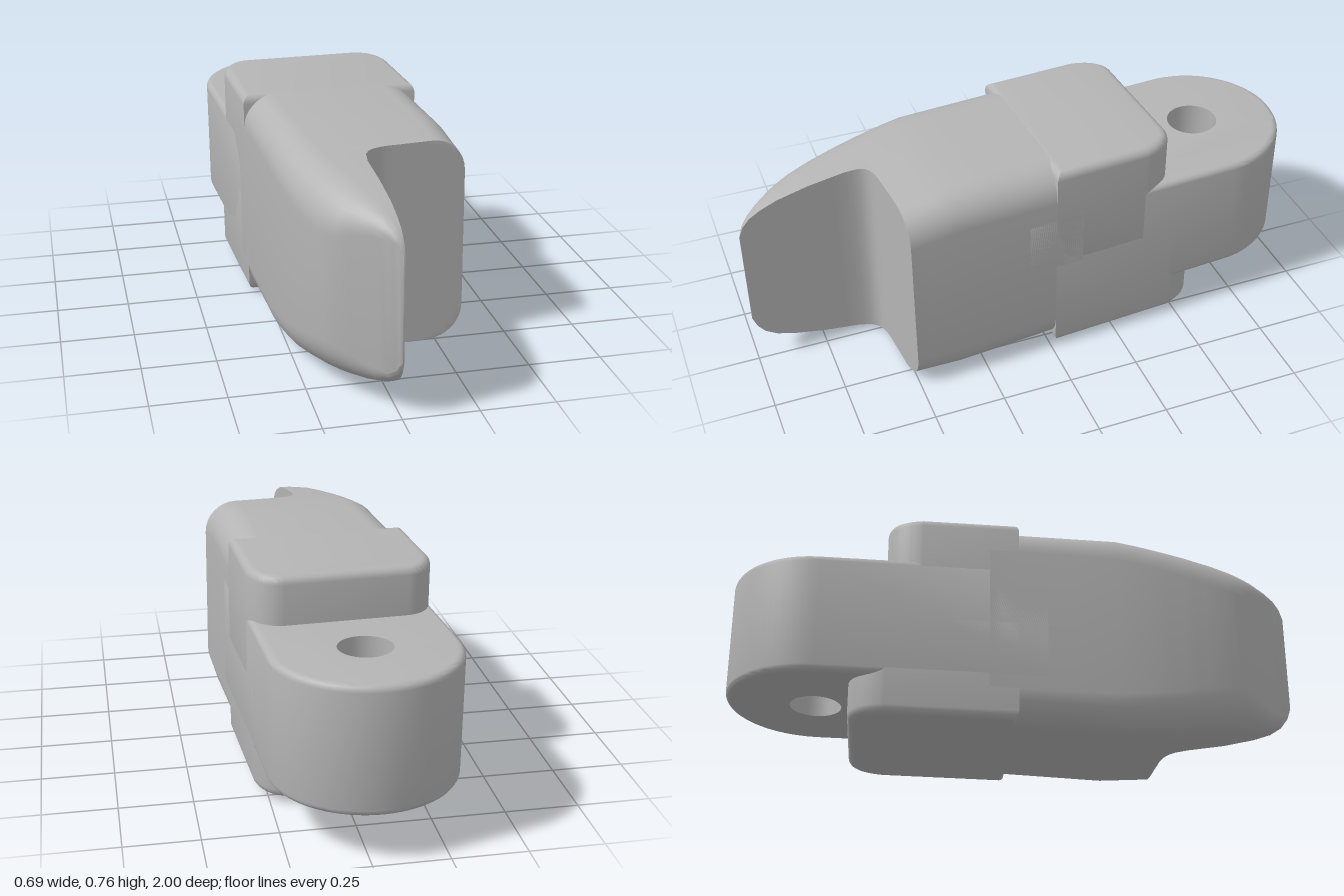
import * as THREE from 'three';
import { toCreasedNormals } from 'three/addons/utils/BufferGeometryUtils.js';

const HALF = 0.312; // half width of the whole piece

// Piecewise-linear lookup in a table of [z, value] rows
function lookup(table, z) {
  if (z <= table[0][0]) return table[0][1];
  for (let i = 1; i < table.length; i++) {
    const [z0, v0] = table[i - 1], [z1, v1] = table[i];
    if (z <= z1) return v0 + (v1 - v0) * (z - z0) / (z1 - z0);
  }
  return table[table.length - 1][1];
}

// The whole piece sits slightly askew: turn in plan, with a slight pitch and lean
function skew(geometry) {
  const p = geometry.attributes.position;
  for (let i = 0; i < p.count; i++) {
    const x = p.getX(i), y = p.getY(i), z = p.getZ(i);
    p.setXYZ(i, x + 0.05 * z - 0.01 * (y - 0.38), y - 0.016 * z, z - 0.05 * x);
  }
  return toCreasedNormals(geometry, 0.6);
}

// Extrude a plan outline (x, -z) upwards from y0 to y1 with rounded rims
function slab(shape, y0, y1, bevel) {
  const g = new THREE.ExtrudeGeometry(shape, {
    depth: y1 - y0 - 2 * bevel, bevelThickness: bevel, bevelSize: bevel,
    bevelOffset: -bevel, bevelSegments: 4, curveSegments: 20,
  });
  return g.rotateX(-Math.PI / 2).translate(0, y0 + bevel, 0);
}

// Shoulder block outline with softened rear corners
function shoulderShape(rear) {
  const s = new THREE.Shape();
  s.moveTo(-HALF, 0);
  s.lineTo(HALF, 0);
  s.lineTo(HALF, rear - 0.12);
  s.quadraticCurveTo(HALF - 0.02, rear - 0.01, 0.21, rear);
  s.lineTo(-0.21, rear);
  s.quadraticCurveTo(-HALF + 0.02, rear - 0.01, -HALF, rear - 0.12);
  s.closePath();
  return s;
}

// Rear tang: round-ended plate with a straight pin hole
function tangGeometry() {
  const cy = 0.688, hole = 0.09;
  const s = new THREE.Shape();
  s.moveTo(-HALF, -0.1);
  s.lineTo(HALF, -0.1);
  s.lineTo(HALF, cy);
  s.absarc(0, cy, HALF, 0, Math.PI, false);
  s.closePath();
  const h = new THREE.Path();
  h.absarc(0, cy, hole, 0, Math.PI * 2, true);
  s.holes.push(h);
  const g = slab(s, 0.16, 0.594, 0.022);
  // Keep the pin hole cylindrical right up to its rims
  const p = g.attributes.position;
  for (let i = 0; i < p.count; i++) {
    const x = p.getX(i), z = p.getZ(i) + cy, r = Math.hypot(x, z);
    if (r < 0.15) p.setXYZ(i, x * hole / r, p.getY(i), z * hole / r - cy);
  }
  return g;
}

// Front body: rounded sections along z, cut away on one side to leave a curved finger
function bodyGeometry() {
  const left = [[0.38, -HALF], [0.5, -0.303], [0.6, -0.289], [0.7, -0.269], [0.77, -0.248], [0.82, -0.221], [1, -0.055]];
  const top = [[-0.1, 0.759], [0.35, 0.761], [0.53, 0.738], [0.75, 0.71], [0.86, 0.686], [0.92, 0.663], [0.96, 0.64], [0.985, 0.612], [1, 0.575]];
  const bottom = [[-0.1, 0.024], [0.35, 0.012], [0.53, 0.026], [0.75, 0.065], [0.86, 0.093], [0.92, 0.115], [0.96, 0.142], [0.985, 0.175], [1, 0.215]];
  const leftRadius = [[0, 0.11], [0.4, 0.12], [0.75, 0.14], [0.82, 0.125], [1, 0.004]];
  const cut = [[0.522, 0.32], [0.534, 0.04], [0.537, 0.015], [0.544, -0.01], [0.555, -0.028], [0.575, -0.042], [0.62, -0.05], [1, -0.05]];
  const zs = [-0.1, 0, 0.2, 0.35, 0.42, 0.47];
  for (let i = 0; i <= 12; i++) zs.push(0.522 + i * 0.001);
  zs.push(0.537, 0.544, 0.555, 0.575, 0.6, 0.62, 0.66, 0.7, 0.75, 0.78, 0.82, 0.86, 0.89, 0.92, 0.94, 0.96, 0.973, 0.985, 0.993, 1);

  const pos = [], index = [], N = 8, M = 4 * (N + 1);
  for (const z of zs) {
    const l = lookup(left, z), t = lookup(top, z), b = lookup(bottom, z);
    const limit = lookup(cut, z), rl = lookup(leftRadius, z), rr = 0.115;
    const corners = [[HALF - rr, t - rr, rr], [l + rl, t - rl, rl], [l + rl, b + rl, rl], [HALF - rr, b + rr, rr]];
    corners.forEach(([cx, cy, r], k) => {
      for (let i = 0; i <= N; i++) {
        const a = (k + i / N) * Math.PI / 2;
        pos.push(Math.min(cx + r * Math.cos(a), limit), cy + r * Math.sin(a), z);
      }
    });
  }
  for (let i = 0; i < zs.length - 1; i++) {
    for (let j = 0; j < M; j++) {
      const a = i * M + j, b = i * M + (j + 1) % M;
      index.push(a, b, b + M, a, b + M, a + M);
    }
  }
  // End caps
  const last = (zs.length - 1) * M;
  for (let j = 1; j < M - 1; j++) {
    index.push(0, j + 1, j, last, last + j, last + j + 1);
  }
  const g = new THREE.BufferGeometry();
  g.setAttribute('position', new THREE.Float32BufferAttribute(pos, 3));
  g.setIndex(index);
  return g;
}

export function createModel() {
  const group = new THREE.Group();
  group.name = 'hingedFingerBlock';
  const grey = new THREE.MeshStandardMaterial({ color: 0xb4b4b4 });
  grey.name = 'plain grey';

  const add = (name, geometry) => {
    const mesh = new THREE.Mesh(skew(geometry), grey);
    mesh.name = name;
    group.add(mesh);
  };
  add('frontBody', bodyGeometry());
  add('upperShoulder', slab(shoulderShape(0.455), 0.36, 0.761, 0.028));
  add('lowerShoulder', slab(shoulderShape(0.57), 0.022, 0.4, 0.028));
  add('rearTang', tangGeometry());
  return group;
}
